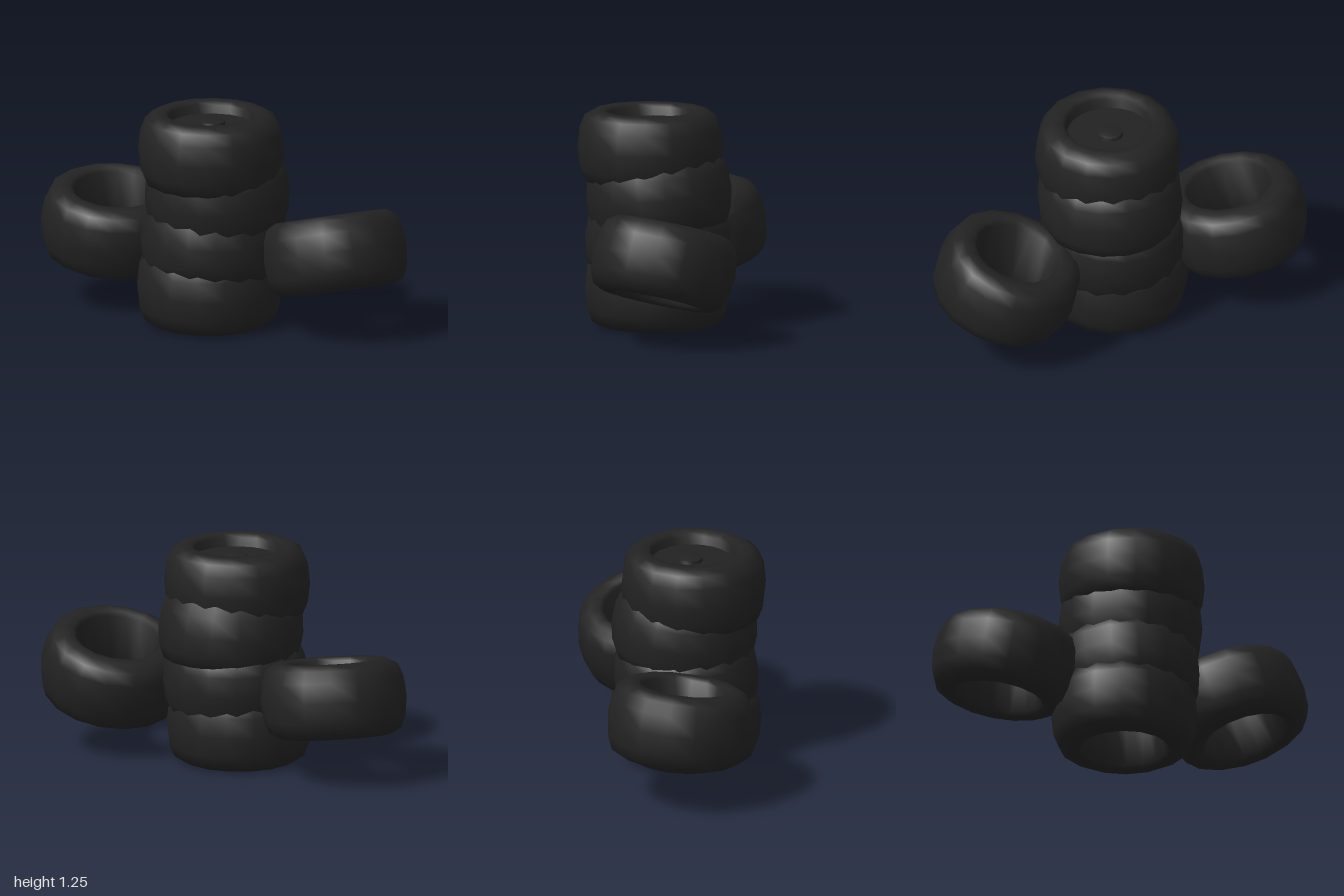
import * as THREE from 'three';
import { toCreasedNormals } from 'three/addons/utils/BufferGeometryUtils.js';

const rubber = new THREE.MeshStandardMaterial({ color: 0x222222 });
rubber.name = 'black rubber';

// Revolve a [radius, height] profile around y, keeping sharp rims
function revolve(points, sides) {
  const lathe = new THREE.LatheGeometry(points.map(([r, y]) => new THREE.Vector2(r, y)), sides);
  return toCreasedNormals(lathe, 0.9);
}

// Tyre cross-section: outer half from the hole to the tread, mirrored, then closed along the hole
const half = [[0.245, 0.195], [0.265, 0.215], [0.325, 0.215], [0.378, 0.185], [0.407, 0.115], [0.42, 0]];
const profile = [
  ...half.map(([r, y]) => [r, -y]),
  ...half.slice(0, -1).reverse(),
  [0.245, -0.195],
];
const tyreGeometry = revolve(profile, 16);

// name, centre, direction of the axle, spin about the axle
const tyres = [
  ['bottomTyre', [-0.095, 0.215, 0.075], [0, 1, 0], 0.1],
  ['lowerMiddleTyre', [-0.07, 0.49, 0.08], [0.03, 1, -0.08], 0.3],
  ['upperMiddleTyre', [-0.05, 0.765, 0.085], [-0.08, 1, 0.06], 0.0],
  ['topTyre', [-0.09, 1.035, 0.12], [0, 1, 0], 0.2],
  ['leaningTyreLeft', [0.59, 0.47, 0.405], [-0.1, 0.95, -0.29], 0.15],
  ['leaningTyreRight', [-0.582, 0.47, -0.435], [0.03, 0.98, 0.18], 0.25],
];

export function createModel() {
  const model = new THREE.Group();
  model.name = 'tyrePile';
  const up = new THREE.Vector3(0, 1, 0);

  for (const [name, centre, axle, spin] of tyres) {
    const tyre = new THREE.Mesh(tyreGeometry, rubber);
    tyre.name = name;
    tyre.position.set(...centre);
    tyre.quaternion.setFromUnitVectors(up, new THREE.Vector3(...axle).normalize());
    tyre.rotateY(spin);
    model.add(tyre);
  }

  // Shallow wheel disc with a raised hub cap, closing the top tyre
  const disc = new THREE.Mesh(revolve([
    [0, -0.04], [0.25, -0.04], [0.25, 0], [0.075, 0], [0.07, 0.018], [0.05, 0.025], [0, 0.025],
  ], 24), rubber);
  disc.name = 'wheelDisc';
  disc.position.set(-0.08, 1.18, 0.1);
  model.add(disc);

  return model;
}
